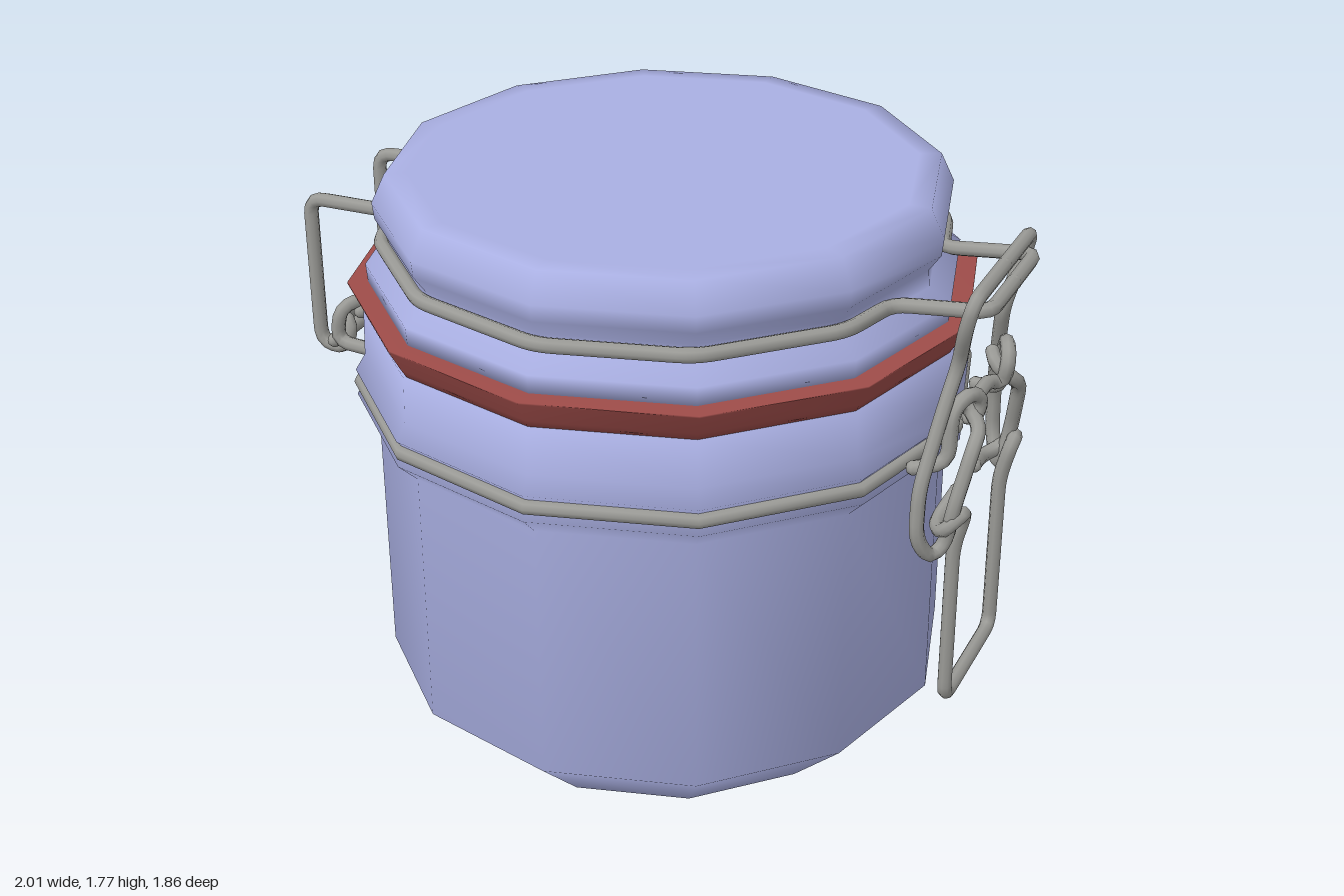
import * as THREE from 'three';
import { ConvexGeometry } from 'three/addons/geometries/ConvexGeometry.js';

const SIDES = 12;
const WIRE = 0.022;
const glass = new THREE.MeshStandardMaterial({ color: 0xa9afe2 });
const rubber = new THREE.MeshStandardMaterial({ color: 0x9e4c49 });
const steel = new THREE.MeshStandardMaterial({ color: 0x9a9a96 });
const V = (p) => new THREE.Vector3(...p);

// Twelve-sided turned part from [radius, height] points, bottom to top
function turned(name, profile, material) {
  const points = profile.map(([r, y]) => new THREE.Vector2(r, y));
  const mesh = new THREE.Mesh(new THREE.LatheGeometry(points, SIDES), material);
  mesh.name = name;
  return mesh;
}

// Bent round wire through corner points, every corner rounded off
function wire(name, corners, bend = 0.05) {
  const pts = corners.map(V);
  const path = new THREE.CurvePath();
  let from = pts[0];
  for (let i = 1; i < pts.length - 1; i++) {
    const toward = (q) => {
      const d = q.clone().sub(pts[i]);
      return pts[i].clone().addScaledVector(d.clone().normalize(), Math.min(bend, d.length() * 0.45));
    };
    const a = toward(pts[i - 1]), b = toward(pts[i + 1]);
    path.add(new THREE.LineCurve3(from, a));
    path.add(new THREE.QuadraticBezierCurve3(a, pts[i], b));
    from = b;
  }
  path.add(new THREE.LineCurve3(from, pts[pts.length - 1]));
  const group = new THREE.Group();
  group.name = name;
  const steps = Math.ceil(path.getLength() / 0.022);
  group.add(new THREE.Mesh(new THREE.TubeGeometry(path, steps, WIRE, 8, false), steel));
  // Rounded wire ends
  for (const end of [pts[0], pts[pts.length - 1]]) {
    const cap = new THREE.Mesh(new THREE.SphereGeometry(WIRE, 8, 6), steel);
    cap.position.copy(end);
    group.add(cap);
  }
  return group;
}

export function createModel() {
  const model = new THREE.Group();
  model.name = 'clampJar';

  // The jar's clasp lies along local +z and its hinge along local -z
  const jar = new THREE.Group();
  jar.name = 'jar';
  jar.position.set(-0.075, 0, 0.01);
  jar.rotation.y = Math.PI / 4;
  model.add(jar);

  // Glass body, rubber seal and glass lid
  jar.add(turned('body', [
    [0, 0], [0.6, 0], [0.66, 0], [0.865, 0.2], [0.865, 1.01], [0.925, 1.07], [0.89, 1.11],
    [0.925, 1.15], [0.895, 1.2], [0.89, 1.34], [0.8, 1.34], [0, 1.34],
  ], glass));
  jar.add(turned('seal', [
    [0.78, 1.34], [0.88, 1.34], [0.895, 1.365], [0.93, 1.43], [0.93, 1.435], [0.78, 1.435],
  ], rubber));
  jar.add(turned('lid', [
    [0, 1.43], [0.87, 1.43], [0.875, 1.49], [0.81, 1.53], [0.805, 1.58], [0.84, 1.63],
    [0.845, 1.68], [0.805, 1.765], [0.74, 1.767], [0, 1.767],
  ], glass));

  // Pull tab of the seal
  const tab = new THREE.Mesh(new ConvexGeometry([
    [0.58, 1.36, -0.62], [0.58, 1.435, -0.64], [0.79, 1.36, -0.23], [0.82, 1.435, -0.22],
    [0.82, 1.41, -0.69], [0.82, 1.45, -0.69], [1.0, 1.425, -0.37], [1.0, 1.435, -0.37],
  ].map(V)), rubber.clone());
  tab.material.flatShading = true;
  tab.name = 'pullTab';
  model.add(tab);

  // Wire ring around the neck
  const ring = new THREE.Mesh(new THREE.TorusGeometry(0.91, WIRE, 8, SIDES), steel);
  ring.rotation.x = Math.PI / 2;
  ring.position.y = 1.11;
  ring.name = 'neckRing';
  jar.add(ring);

  // Wires that have a mirrored twin on the other side
  for (const s of [-1, 1]) {
    const side = (pts) => pts.map(([x, y, z]) => [s * x, y, z]);

    // Lid wire: clasp bar, around the lid groove, then down to the hinge
    const around = [];
    for (let k = 1; k <= 5; k++) {
      const a = (k * Math.PI) / 6;
      around.push([0.83 * Math.sin(a), 1.56, 0.83 * Math.cos(a)]);
    }
    jar.add(wire('lidWire', side([
      [0, 1.59, 1.05], [0.21, 1.59, 1.05], [0.21, 1.56, 0.775], ...around,
      [0.21, 1.56, -0.775], [0.2, 1.55, -1.09], [0.2, 1.07, -1.09],
      [0.2, 1.06, -1.0], [0.19, 1.15, -0.98], [0.16, 1.16, -1.05], [0.08, 1.13, -1.05],
    ])));

    // Hinge eyelet standing off the neck ring
    jar.add(wire('hingeEyelet', side([
      [0.26, 1.11, -0.87], [0.25, 1.11, -1.0], [0.25, 1.23, -0.98], [0.15, 1.23, -0.93], [0.14, 1.11, -0.9],
    ])));

    // Clasp eyelet: the ring wire rises, curls over and joins the short bar
    jar.add(wire('claspEyelet', side([
      [0.28, 1.11, 0.88], [0.25, 1.13, 0.97], [0.24, 1.29, 0.97], [0.17, 1.32, 1.0],
      [0.12, 1.28, 1.02], [0.14, 1.2, 1.0], [0.1, 1.225, 0.97], [0, 1.225, 0.97],
    ])));

    // Clasp arm: hooks the lid bar, narrows, spreads, curls back to the eyelet
    jar.add(wire('claspArm', side([
      [0, 1.635, 1.02], [0.26, 1.635, 1.02], [0.26, 1.55, 1.0], [0.2, 1.42, 0.97],
      [0.25, 1.3, 0.95], [0.34, 1.08, 0.92], [0.35, 0.93, 0.92], [0.31, 0.85, 0.95],
      [0.26, 0.88, 0.98], [0.27, 1.0, 1.0], [0.22, 1.17, 1.03], [0.16, 1.21, 1.03],
      [0.13, 1.26, 0.98], [0.19, 1.27, 0.95],
    ], 0.06)));
  }

  // Bars joining the hinge eyelets
  jar.add(wire('hingeBar', [[-0.25, 1.11, -1.01], [0.25, 1.11, -1.01]]));
  jar.add(wire('hingeUpperBar', [[-0.2, 1.2, -0.94], [0.2, 1.2, -0.94]]));

  // Handle: long loop whose ends hook around the clasp arms
  const hook = [
    [0.08, 0.95, 0.95], [0.21, 0.91, 0.93], [0.28, 0.92, 0.97], [0.27, 0.98, 1.02],
    [0.215, 0.97, 1.02], [0.215, 0.85, 0.99], [0.215, 0.33, 0.99],
  ];
  const mirrored = hook.map(([x, y, z]) => [-x, y, z]).reverse();
  jar.add(wire('handle', [...hook, ...mirrored]));

  return model;
}
